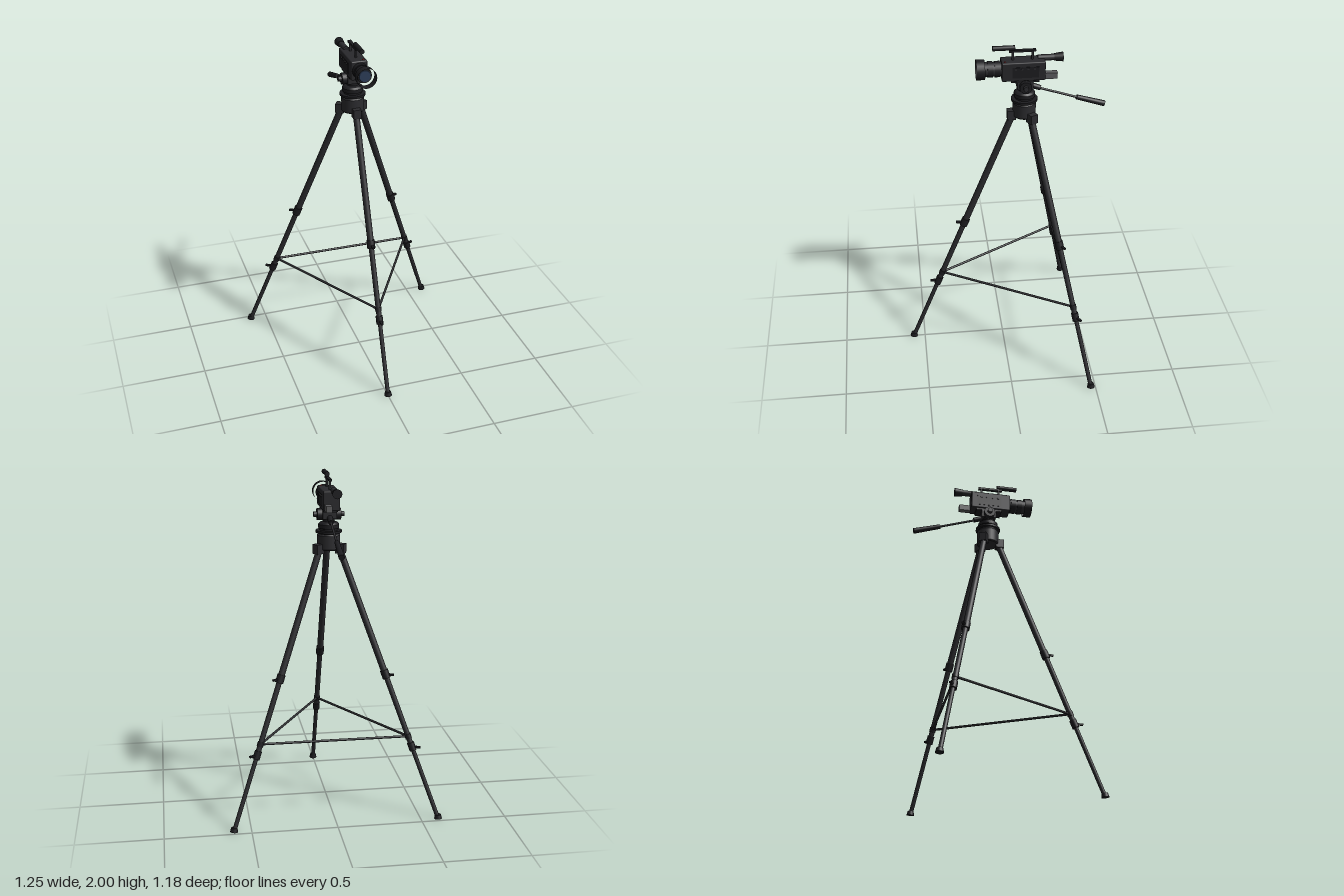
import * as THREE from 'three';
import { RoundedBoxGeometry } from 'three/addons/geometries/RoundedBoxGeometry.js';

const mat = (color, side = THREE.FrontSide) => new THREE.MeshStandardMaterial({ color, side });
const V = (x, y, z) => new THREE.Vector3(x, y, z);

export function createModel() {
  const root = new THREE.Group();
  const metal = mat(0x2c2c2f), dark = mat(0x1d1d20), body = mat(0x29292c);

  const add = (parent, name, geo, m, x = 0, y = 0, z = 0) => {
    const mesh = new THREE.Mesh(geo, m);
    mesh.name = name;
    mesh.position.set(x, y, z);
    parent.add(mesh);
    return mesh;
  };
  const box = (p, name, w, h, d, m, x, y, z) =>
    add(p, name, new THREE.BoxGeometry(w, h, d), m, x, y, z);
  // Cylinder running from point a (radius ra) to point b (radius rb)
  const rod = (p, name, a, b, ra, rb, m, open = false) => {
    const dir = b.clone().sub(a);
    const mesh = add(p, name, new THREE.CylinderGeometry(rb, ra, dir.length(), 24, 1, open), m);
    mesh.position.copy(a).addScaledVector(dir, 0.5);
    mesh.quaternion.setFromUnitVectors(V(0, 1, 0), dir.normalize());
    return mesh;
  };

  // Tripod, built around its own axis; each leg runs outward along local +z
  const tripod = new THREE.Group();
  tripod.name = 'tripod';
  tripod.position.z = -0.125;
  root.add(tripod);
  const legAt = y => V(0, y, 0.695 - 0.4 * y);
  const reach = legAt(0.49).z;

  for (let i = 0; i < 3; i++) {
    const leg = new THREE.Group();
    leg.name = 'leg' + (i + 1);
    leg.rotation.y = i * Math.PI * 2 / 3;
    tripod.add(leg);
    rod(leg, 'upperTube', legAt(1.575), legAt(0.86), 0.019, 0.019, metal);
    rod(leg, 'middleTube', legAt(0.86), legAt(0.43), 0.0155, 0.0155, metal);
    rod(leg, 'lowerTube', legAt(0.43), legAt(0.015), 0.0125, 0.0125, metal);
    for (const [y, r] of [[0.855, 0.024], [0.43, 0.021]]) {
      rod(leg, 'lockCollar', legAt(y + 0.023), legAt(y - 0.023), r, r, dark);
      box(leg, 'lockLever', 0.014, 0.01, 0.036, dark, 0, y, legAt(y).z + 0.034);
    }
    rod(leg, 'foot', V(0, 0, 0.695), V(0, 0.024, 0.692), 0.023, 0.018, dark);
    box(leg, 'hinge', 0.046, 0.055, 0.05, metal, 0, 1.575, 0.074);
    // Spreader bar to the next leg
    const s = Math.PI * 2 / 3;
    rod(leg, 'spreaderBar', V(0, 0.49, reach), V(Math.sin(s) * reach, 0.49, Math.cos(s) * reach), 0.007, 0.007, metal);
    rod(leg, 'spreaderClamp', legAt(0.503), legAt(0.477), 0.019, 0.019, dark);
  }

  // Crown and fluid head base, turned in one profile
  const profile = [[0, 1.565], [0.06, 1.565], [0.066, 1.572], [0.066, 1.65], [0.06, 1.658], [0.06, 1.664],
    [0.075, 1.664], [0.075, 1.677], [0.052, 1.677], [0.052, 1.687], [0.06, 1.69], [0.06, 1.712],
    [0.05, 1.722], [0.034, 1.727], [0.034, 1.76], [0, 1.76]];
  // Each segment gets its own normals so the steps stay crisp
  for (let i = 0; i < profile.length - 1; i++) {
    const pts = [profile[i], profile[i + 1]].map(p => new THREE.Vector2(...p));
    add(tripod, 'crown', new THREE.LatheGeometry(pts, 32), i < 4 ? metal : dark);
  }

  // Tilt head
  const head = new THREE.Group();
  head.name = 'tiltHead';
  tripod.add(head);
  rod(head, 'tiltDrum', V(-0.068, 1.768, 0), V(0.068, 1.768, 0), 0.034, 0.034, dark);
  rod(head, 'tiltAxle', V(-0.088, 1.768, 0), V(0.088, 1.768, 0), 0.015, 0.015, metal);
  box(head, 'headBlock', 0.08, 0.045, 0.09, metal, 0, 1.768, 0);
  box(head, 'mountPlate', 0.08, 0.014, 0.16, dark, 0, 1.797, 0);

  // Pan handle
  const handle = new THREE.Group();
  handle.name = 'panHandle';
  root.add(handle);
  rod(handle, 'handleSocket', V(0, 1.757, -0.15), V(0, 1.733, -0.215), 0.017, 0.015, dark);
  rod(handle, 'handleRod', V(0, 1.742, -0.18), V(0, 1.66, -0.43), 0.0065, 0.0065, metal);
  rod(handle, 'handleGrip', V(0, 1.662, -0.425), V(0, 1.612, -0.587), 0.014, 0.017, dark);

  // Camera
  const cam = new THREE.Group();
  cam.name = 'camera';
  root.add(cam);
  add(cam, 'cameraBody', new RoundedBoxGeometry(0.096, 0.112, 0.245, 3, 0.007), body, 0, 1.858, -0.115);
  for (const s of [-1, 1]) {
    box(cam, 'sidePanel', 0.004, 0.065, 0.15, dark, s * 0.048, 1.855, -0.125);
    for (let i = 0; i < 4; i++)
      rod(cam, 'sideButton', V(s * 0.048, 1.878, -0.07 - i * 0.035), V(s * 0.054, 1.878, -0.07 - i * 0.035), 0.006, 0.006, metal);
  }
  box(cam, 'battery', 0.034, 0.036, 0.075, mat(0x5c5c5e), 0.024, 1.823, -0.268);
  add(cam, 'recordLight', new THREE.SphereGeometry(0.005, 12, 8), mat(0xd01818), 0.028, 1.914, -0.012);

  // Lens with focus rings, glass and an open hood
  const ly = 1.862;
  const barrel = (name, z0, z1, r0, r1, m, open) => rod(cam, name, V(0, ly, z0), V(0, ly, z1), r0, r1, m, open);
  barrel('lensBarrel', -0.01, 0.105, 0.041, 0.041, metal);
  barrel('zoomRing', 0.015, 0.045, 0.0455, 0.0455, dark);
  barrel('focusRing', 0.055, 0.085, 0.0455, 0.0455, dark);
  barrel('lensGlass', 0.104, 0.109, 0.035, 0.033, mat(0x2c3d58));
  barrel('lensHood', 0.1, 0.148, 0.057, 0.058, mat(0x1d1d20, THREE.DoubleSide), true);

  // Viewfinder
  const vf = z => V(-0.015, 1.912, z);
  rod(cam, 'viewfinderTube', vf(-0.2), vf(-0.3), 0.018, 0.018, metal);
  rod(cam, 'eyecup', vf(-0.292), vf(-0.342), 0.021, 0.027, dark);

  // Carry handle and microphone
  box(cam, 'carryHandle', 0.02, 0.012, 0.15, dark, 0, 1.967, -0.112);
  for (const z of [-0.058, -0.168])
    rod(cam, 'handlePost', V(0, 1.905, z), V(0, 1.967, z), 0.007, 0.007, metal);
  rod(cam, 'microphone', V(0, 1.986, -0.07), V(0, 1.986, 0.055), 0.014, 0.014, dark);

  return root;
}
